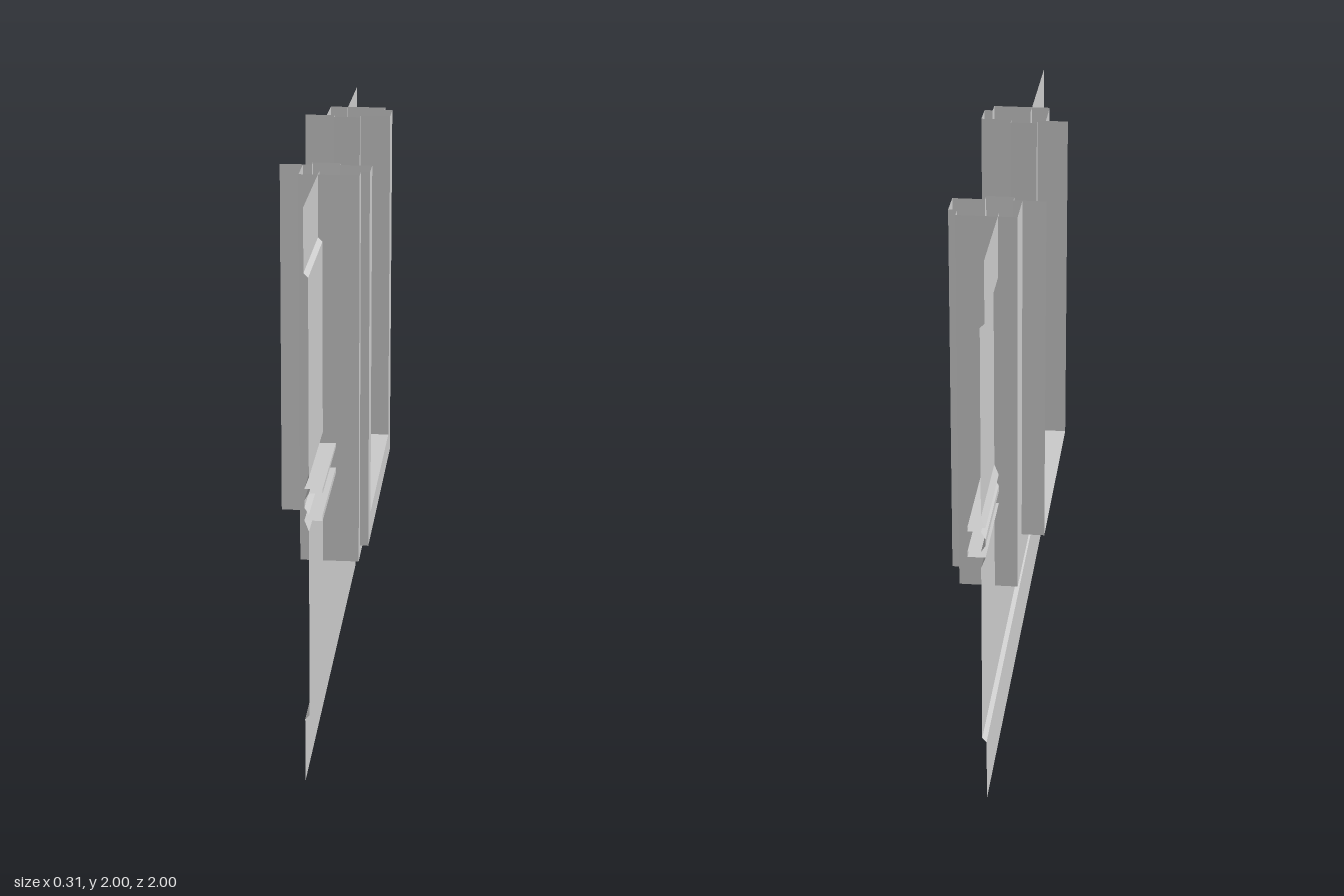
import * as THREE from 'three';

const material = new THREE.MeshStandardMaterial({ color: 0xcccccc, side: THREE.DoubleSide });

// Thin folded skin through equal-length cross-sections, with sharp bends
function loft(name, sections) {
  const pos = [];
  for (let i = 0; i < sections.length - 1; i++) {
    const a = sections[i], b = sections[i + 1];
    for (let j = 0; j < a.length - 1; j++) {
      pos.push(...a[j], ...b[j], ...b[j + 1], ...a[j], ...b[j + 1], ...a[j + 1]);
    }
  }
  const geometry = new THREE.BufferGeometry();
  geometry.setAttribute('position', new THREE.Float32BufferAttribute(pos, 3));
  geometry.computeVertexNormals();
  const mesh = new THREE.Mesh(geometry, material);
  mesh.name = name;
  return mesh;
}

// Folded sheet: an [x, y] profile drawn out along z
function sheet(name, profile, z0, z1) {
  return loft(name, [z0, z1].map(z => profile.map(([x, y]) => [x, y, z])));
}

export function createModel() {
  const group = new THREE.Group();
  group.name = 'wallPanelWithWindowFrame';

  // Wall sheet below the opening, with the recessed skirting strip
  const sill = 0.66, back = -0.015, rib = 0.045;
  group.add(sheet('lowerWall', [[back, 0], [back, 0.23], [0, 0.245], [0, sill]], -1, 1));

  // Wall sheet beside the opening: two ribs at mid height, recessed top strip
  const sideProfile = [
    [0, sill], [0, 0.907], [back, 0.946], [rib, 0.946], [rib, 0.967], [0, 0.967],
    [back, 0.99], [back, 1.015], [0, 1.041], [rib, 1.041], [rib, 1.056], [back, 1.056],
    [0, 1.095], [0, 1.77], [back, 1.785], [back, 2],
  ];
  group.add(sheet('frontWall', sideProfile, 0.47, 1));
  group.add(sheet('rearWall', sideProfile, -1, -0.58));

  // Frame layers: sill height, then z at the corner and at the top of each leg
  const layers = {
    inner: { y: 0.779, front: [0.373, 0.352], rear: [-0.443, -0.419] },
    flange: { y: 0.755, front: [0.395, 0.384], rear: [-0.462, -0.451] },
    lip: { y: 0.664, front: [0.487, 0.484], rear: [-0.555, -0.561] },
    outer: { y: 0.621, front: [0.531, 0.535], rear: [-0.601, -0.609] },
  };
  // Frame cross-section as x and layer, folded from the flange round to its back
  const frameProfile = [
    [-0.16, 'flange'], [-0.05, 'flange'], [-0.05, 'inner'], [0.045, 'inner'],
    [0.045, 'flange'], [0.155, 'flange'], [0.155, 'lip'], [0.125, 'lip'],
    [0.125, 'outer'], [-0.08, 'outer'], [-0.08, 'flange'],
  ];
  // U-shaped path: front leg top, two corners, rear leg top
  const path = [
    l => [2, l.front[1]], l => [l.y, l.front[0]],
    l => [l.y, l.rear[0]], l => [2, l.rear[1]],
  ];
  group.add(loft('windowFrame', path.map(at =>
    frameProfile.map(([x, layer]) => [x, ...at(layers[layer])]))));

  return group;
}
